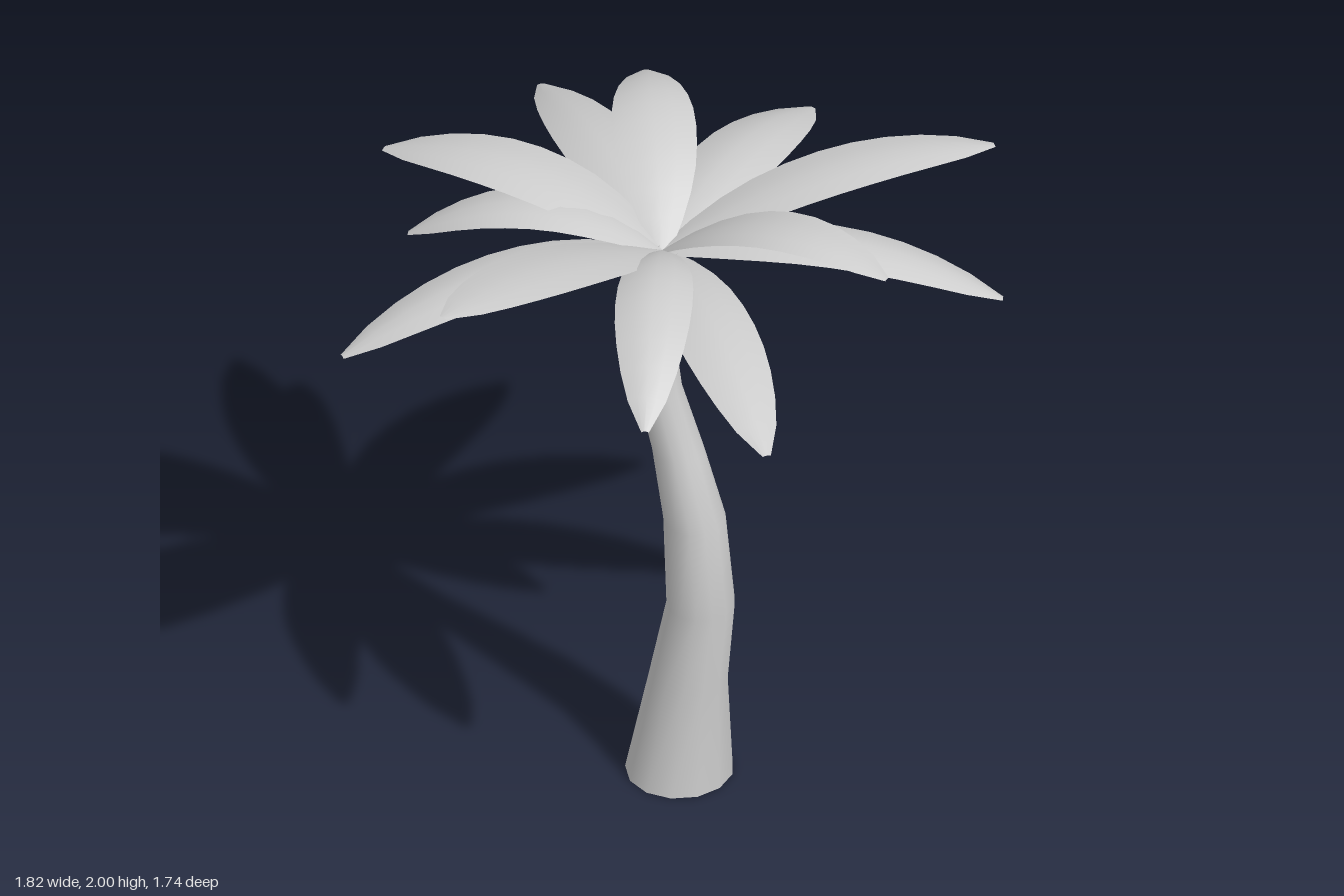
import * as THREE from 'three';

const material = new THREE.MeshStandardMaterial({ color: 0xcccccc, side: THREE.DoubleSide });

// Trunk outline at several heights: y, xMin, xMax, zMin, zMax
const SECTIONS = [
  [0, -0.175, 0.135, -0.09, 0.2],
  [0.34, -0.103, 0.125, -0.02, 0.17],
  [0.6, -0.05, 0.147, -0.005, 0.18],
  [0.88, -0.06, 0.12, -0.002, 0.165],
  [1.1, -0.095, 0.055, -0.002, 0.13],
  [1.3, -0.143, -0.01, -0.002, 0.102],
  [1.5, -0.148, -0.037, -0.002, 0.086],
  [1.64, -0.12, -0.03, 0.005, 0.083],
  [1.77, -0.085, -0.02, 0.015, 0.08],
];

// Bark: a bent shell, open along a strip at the back
function makeTrunk() {
  const rows = SECTIONS.length - 1;
  const start = THREE.MathUtils.degToRad(-140);
  const end = THREE.MathUtils.degToRad(114);
  const geo = new THREE.CylinderGeometry(1, 1, 1, 9, rows, true, start, end - start);
  const p = geo.attributes.position, uv = geo.attributes.uv;
  const back = Math.cos(start);
  for (let i = 0; i < p.count; i++) {
    const [y, x0, x1, z0, z1] = SECTIONS[Math.round(uv.getY(i) * rows)];
    p.setXYZ(i,
      (x0 + x1) / 2 + p.getX(i) * (x1 - x0) / 2, y,
      z0 + (z1 - z0) * (p.getZ(i) - back) / (1 - back));
  }
  geo.computeVertexNormals();
  const mesh = new THREE.Mesh(geo, material);
  mesh.name = 'trunk';
  return mesh;
}

// Fronds: tip x, tip y, tip z, height at 60% of the length, half width, edge droop
const FRONDS = [
  [-0.57, 1.69, -0.86, 1.81, 0.115, 0.25],
  [0.21, 1.69, -0.87, 1.82, 0.125, 0.25],
  [-0.23, 1.92, -0.64, 1.99, 0.12, 0.2],
  [0.82, 1.95, -0.38, 1.97, 0.115, 0.15],
  [-0.91, 1.88, -0.18, 1.945, 0.13, 0.15],
  [-0.80, 1.76, 0.06, 1.89, 0.11, 0.2],
  [-0.91, 1.64, 0.54, 1.805, 0.115, 0.25],
  [-0.57, 2.0, 0.83, 1.965, 0.13, 0.12],
  [0.01, 1.66, 0.81, 1.85, 0.11, 0.3],
  [0.37, 1.65, 0.86, 1.79, 0.12, 0.25],
  [0.62, 1.9, 0.28, 1.97, 0.105, 0.12],
  [0.90, 1.65, -0.05, 1.81, 0.11, 0.25],
];

// Relative half width along a frond
const WIDTH = [0.2, 0.52, 0.76, 0.91, 0.98, 1, 0.97, 0.88, 0.73, 0.5, 0.1];

function makeFrond([tx, ty, tz, my, half, droop]) {
  const rows = WIDTH.length - 1;
  const geo = new THREE.PlaneGeometry(2, 1, 4, rows);
  const p = geo.attributes.position, uv = geo.attributes.uv;
  const base = new THREE.Vector3(-0.07, 1.76, 0.03);
  const dx = tx - base.x, dz = tz - base.z, len = Math.hypot(dx, dz);
  // Quadratic arch through base, mid height and tip
  const rise = ty - base.y, m = 0.6;
  const bow = (my - base.y - rise * m) / (m * (1 - m));
  for (let i = 0; i < p.count; i++) {
    const t = uv.getY(i), s = p.getX(i);
    const w = half * WIDTH[Math.round(t * rows)];
    p.setXYZ(i,
      base.x + dx * t - dz / len * s * w,
      base.y + rise * t + bow * t * (1 - t) - droop * w * s * s,
      base.z + dz * t + dx / len * s * w);
  }
  geo.computeVertexNormals();
  const mesh = new THREE.Mesh(geo, material);
  mesh.name = 'frond';
  return mesh;
}

export function createModel() {
  const model = new THREE.Group();
  model.name = 'palmTree';
  model.add(makeTrunk());

  // Crown of arching fronds
  const crown = new THREE.Group();
  crown.name = 'crown';
  for (const f of FRONDS) crown.add(makeFrond(f));
  model.add(crown);

  return model;
}
